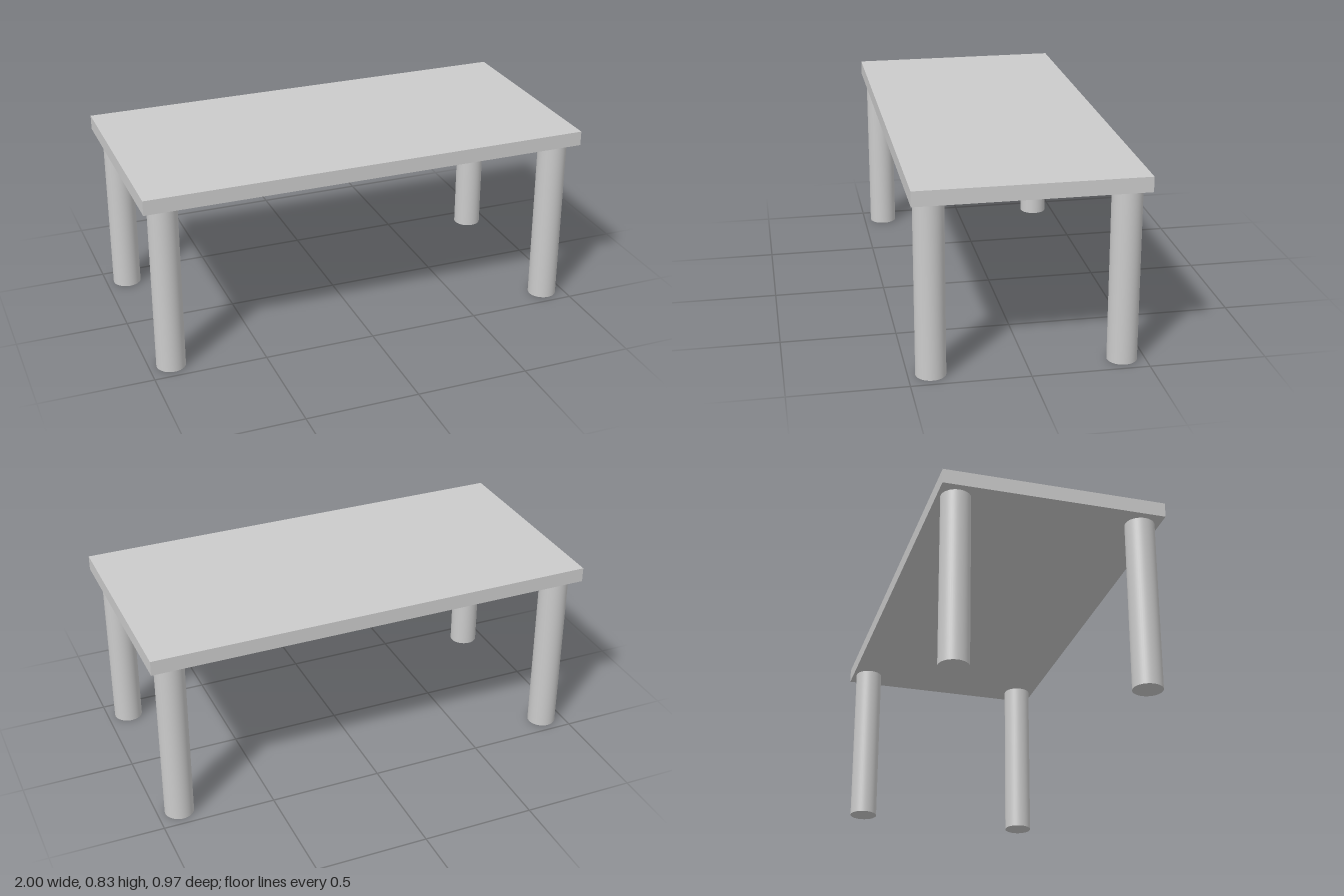
import * as THREE from 'three';

export function createModel() {
  const group = new THREE.Group();
  group.name = 'table';
  const material = new THREE.MeshStandardMaterial({ color: 0xcccccc });

  const height = 0.833, thickness = 0.065;
  const legHeight = height - thickness;

  // Flat rectangular slab
  const top = new THREE.Mesh(new THREE.BoxGeometry(2, thickness, 0.968), material);
  top.name = 'tableTop';
  top.position.y = height - thickness / 2;
  group.add(top);

  // Four round legs, one near each corner
  const legGeometry = new THREE.CylinderGeometry(0.064, 0.064, legHeight, 48);
  for (const [xName, x] of [['Left', 0.903], ['Right', -0.903]]) {
    for (const [zName, z] of [['front', 0.404], ['back', -0.404]]) {
      const leg = new THREE.Mesh(legGeometry, material);
      leg.name = `${zName}${xName}Leg`;
      leg.position.set(x, legHeight / 2, z);
      group.add(leg);
    }
  }

  return group;
}
